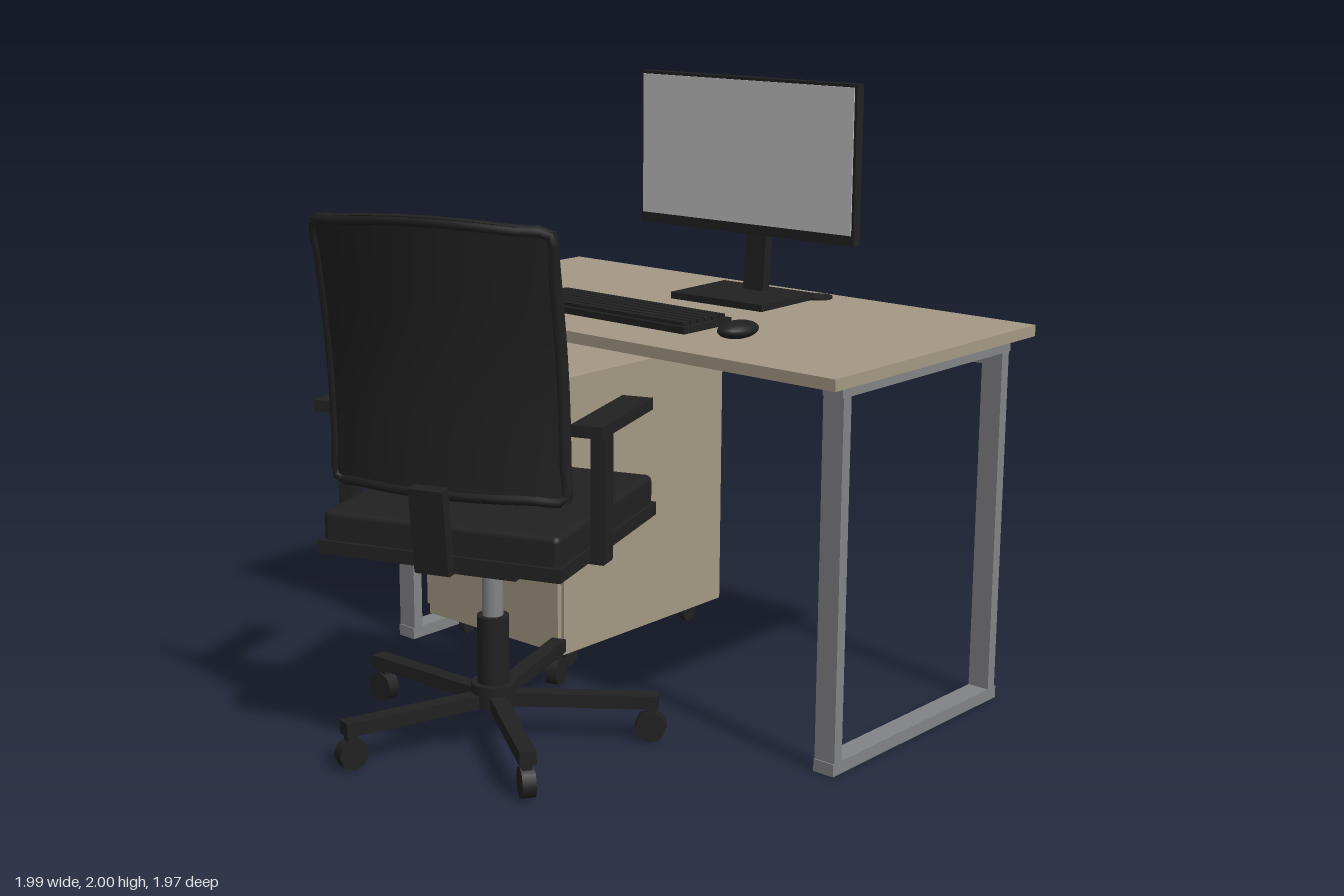
import * as THREE from 'three';
import { RoundedBoxGeometry } from 'three/addons/geometries/RoundedBoxGeometry.js';

const mat = (name, color) => Object.assign(new THREE.MeshStandardMaterial({ color }), { name });

export function createModel() {
  const wood = mat('wood', 0xa49984);
  const steel = mat('steel grey', 0x828385);
  const black = mat('black', 0x212121);
  const screenGrey = mat('screen grey', 0xbebebe);

  const model = new THREE.Group();
  model.name = 'workstation';

  const group = (name, parent = model) => {
    const g = new THREE.Group();
    g.name = name;
    parent.add(g);
    return g;
  };
  const add = (parent, name, geometry, material, x = 0, y = 0, z = 0) => {
    const m = new THREE.Mesh(geometry, material);
    m.name = name;
    m.position.set(x, y, z);
    parent.add(m);
    return m;
  };
  // Box given by its limits on each axis
  const box = (parent, name, material, [x0, x1], [y0, y1], [z0, z1]) =>
    add(parent, name, new THREE.BoxGeometry(x1 - x0, y1 - y0, z1 - z0), material,
      (x0 + x1) / 2, (y0 + y1) / 2, (z0 + z1) / 2);
  const cylinder = (parent, name, material, r, h, x, y, z, sides = 24) =>
    add(parent, name, new THREE.CylinderGeometry(r, r, h, sides), material, x, y, z);

  // Desk: top, two closed side frames and a rear beam
  const desk = group('desk');
  box(desk, 'deskTop', wood, [-0.995, 0.995], [1.213, 1.25], [-0.985, 0.095]);
  for (const side of [-1, 1]) {
    const frame = group(side < 0 ? 'rightFrame' : 'leftFrame', desk);
    const xs = [side * 0.923 - 0.037, side * 0.923 + 0.037];
    box(frame, 'footBar', steel, xs, [0, 0.04], [-0.897, 0.008]);
    box(frame, 'topBar', steel, xs, [1.173, 1.213], [-0.897, 0.008]);
    box(frame, 'frontUpright', steel, xs, [0.04, 1.173], [-0.035, 0.003]);
    box(frame, 'rearUpright', steel, xs, [0.04, 1.173], [-0.888, -0.85]);
  }
  box(desk, 'rearBeam', steel, [-0.886, 0.886], [1.13, 1.192], [-0.888, -0.85]);

  // Drawer pedestal
  const pedestal = group('pedestal');
  box(pedestal, 'pedestalBody', wood, [-0.885, -0.225], [0.08, 1.02], [-0.905, -0.072]);
  box(pedestal, 'pedestalTop', wood, [-0.888, -0.222], [1.02, 1.04], [-0.91, -0.062]);
  for (const [y0, y1, handleY] of [[0.795, 0.995, 0.952], [0.582, 0.78, 0.738], [0.125, 0.568, 0.52]]) {
    box(pedestal, 'drawerFront', wood, [-0.875, -0.235], [y0, y1], [-0.07, -0.052]);
    box(pedestal, 'drawerHandle', steel, [-0.635, -0.468], [handleY - 0.008, handleY + 0.008], [-0.052, -0.036]);
  }
  cylinder(pedestal, 'lock', steel, 0.013, 0.014, -0.785, 0.916, -0.045).rotation.x = Math.PI / 2;
  for (const x of [-0.8, -0.3]) {
    for (const z of [-0.175, -0.81]) {
      cylinder(pedestal, 'pedestalCaster', black, 0.031, 0.025, x, 0.031, z, 12).rotation.z = Math.PI / 2;
      box(pedestal, 'casterFork', black, [x - 0.01, x + 0.01], [0.04, 0.08], [z - 0.015, z + 0.015]);
    }
  }

  // Monitor, turned slightly
  const monitor = group('monitor');
  monitor.position.set(0.015, 0, -0.728);
  monitor.rotation.y = 0.027;
  box(monitor, 'monitorCase', black, [-0.447, 0.447], [1.475, 2], [-0.018, 0.018]);
  box(monitor, 'screen', screenGrey, [-0.437, 0.437], [1.51, 1.99], [0.018, 0.022]);
  box(monitor, 'rearHousing', black, [-0.222, 0.222], [1.55, 1.84], [-0.066, -0.018]);
  const neck = box(monitor, 'neck', black, [-0.042, 0.042], [1.26, 1.545], [-0.086, -0.05]);
  neck.rotation.x = -0.075;
  box(monitor, 'monitorBase', black, [-0.192, 0.192], [1.25, 1.273], [-0.132, 0.168]);
  cylinder(model, 'cableGrommet', black, 0.049, 0.008, 0.197, 1.254, -0.896, 20);

  // Keyboard with six rows of keys, and mouse
  const keyboard = group('keyboard');
  keyboard.position.set(-0.102, 1.25, -0.228);
  keyboard.rotation.y = -0.01;
  box(keyboard, 'keyboardBody', black, [-0.366, 0.366], [0, 0.022], [-0.117, 0.117]);
  for (let i = 0; i < 6; i++) {
    const z = -0.088 + i * 0.035;
    box(keyboard, 'keyRow', black, [-0.35, 0.35], [0.022, 0.034], [z - 0.014, z + 0.014]);
  }
  add(model, 'mouse', new THREE.SphereGeometry(1, 20, 12), black, 0.428, 1.28, -0.17).scale.set(0.052, 0.028, 0.082);

  // Chair, turned about its column; its local +z points to the backrest
  const chairCentre = [-0.03, 0, 0.46];
  const star = group('chairBase');
  star.position.set(...chairCentre);
  for (let i = 0; i < 5; i++) {
    const leg = group('baseLeg', star);
    leg.rotation.y = -(178 + i * 72) * Math.PI / 180;
    box(leg, 'legBar', black, [0, 0.52], [0.112, 0.155], [-0.026, 0.026]);
    box(leg, 'casterStem', black, [0.478, 0.512], [0.06, 0.115], [-0.015, 0.015]);
    const wheel = add(leg, 'caster', new THREE.CylinderGeometry(0.05, 0.05, 0.042, 8), black, 0.495, 0.05, 0);
    wheel.rotation.x = Math.PI / 2;
  }
  cylinder(star, 'hub', black, 0.072, 0.075, 0, 0.148, 0);
  cylinder(star, 'columnSleeve', black, 0.05, 0.23, 0, 0.29, 0);
  cylinder(star, 'gasColumn', steel, 0.033, 0.21, 0, 0.5, 0);

  const chair = group('chair');
  chair.position.set(...chairCentre);
  chair.rotation.y = 0.35;
  box(chair, 'tiltMechanism', black, [-0.17, 0.17], [0.592, 0.668], [-0.15, 0.2]);
  box(chair, 'seatPlate', black, [-0.395, 0.395], [0.668, 0.71], [-0.39, 0.385]);
  add(chair, 'seatCushion', new RoundedBoxGeometry(0.77, 0.11, 0.76, 2, 0.02), black, 0, 0.745, -0.01);

  // Armrests
  for (const side of [-1, 1]) {
    const arm = group(side < 0 ? 'rightArm' : 'leftArm', chair);
    box(arm, 'armPost', black, [side * 0.42 - 0.022, side * 0.42 + 0.022], [0.67, 1.075], [0.095, 0.165]);
    box(arm, 'armBracket', black, [side * 0.36 - 0.08, side * 0.36 + 0.08], [0.664, 0.69], [0.095, 0.165]);
    box(arm, 'armPad', black, [side * 0.42 - 0.05, side * 0.42 + 0.05], [1.07, 1.106], [-0.16, 0.25]);
  }

  // Backrest surface: u runs across (-1..1), v runs up (0..1)
  const lean = new THREE.CatmullRomCurve3(
    [[0.88, 0.372], [1.05, 0.378], [1.2, 0.386], [1.36, 0.405], [1.54, 0.437], [1.72, 0.472]]
      .map(([y, z]) => new THREE.Vector3(0, y, z)));
  const backPoint = (u, v, offset = 0) => {
    const p = lean.getPoint(v);
    return new THREE.Vector3(u * 0.385, p.y - 0.035 * u * u * v, p.z - 0.09 * u * u + offset);
  };
  const panel = new THREE.BoxGeometry(2, 1, 0.022, 14, 12, 1);
  const pos = panel.attributes.position;
  for (let i = 0; i < pos.count; i++) {
    const p = backPoint(pos.getX(i), THREE.MathUtils.clamp(pos.getY(i) + 0.5, 0, 1), pos.getZ(i));
    pos.setXYZ(i, p.x, p.y, p.z);
  }
  panel.computeVertexNormals();
  add(chair, 'backrestPanel', panel, black);

  // Rim around the backrest
  const rim = [];
  const n = 8;
  const edge = 0.96;
  for (let i = 0; i < n; i++) rim.push(backPoint(-edge + 2 * edge * i / n, 0.015));
  for (let i = 0; i < n; i++) rim.push(backPoint(edge, 0.015 + 0.97 * i / n));
  for (let i = 0; i < n; i++) rim.push(backPoint(edge - 2 * edge * i / n, 0.985));
  for (let i = 0; i < n; i++) rim.push(backPoint(-edge, 0.985 - 0.97 * i / n));
  add(chair, 'backrestRim',
    new THREE.TubeGeometry(new THREE.CatmullRomCurve3(rim, true), 96, 0.018, 8, true), black);

  // Bar joining backrest and seat
  const support = box(chair, 'backSupport', black, [-0.055, 0.055], [0.66, 0.925], [0.395, 0.435]);
  support.rotation.x = 0.13;
  box(chair, 'supportArm', black, [-0.055, 0.055], [0.655, 0.69], [0.15, 0.41]);

  return model;
}
